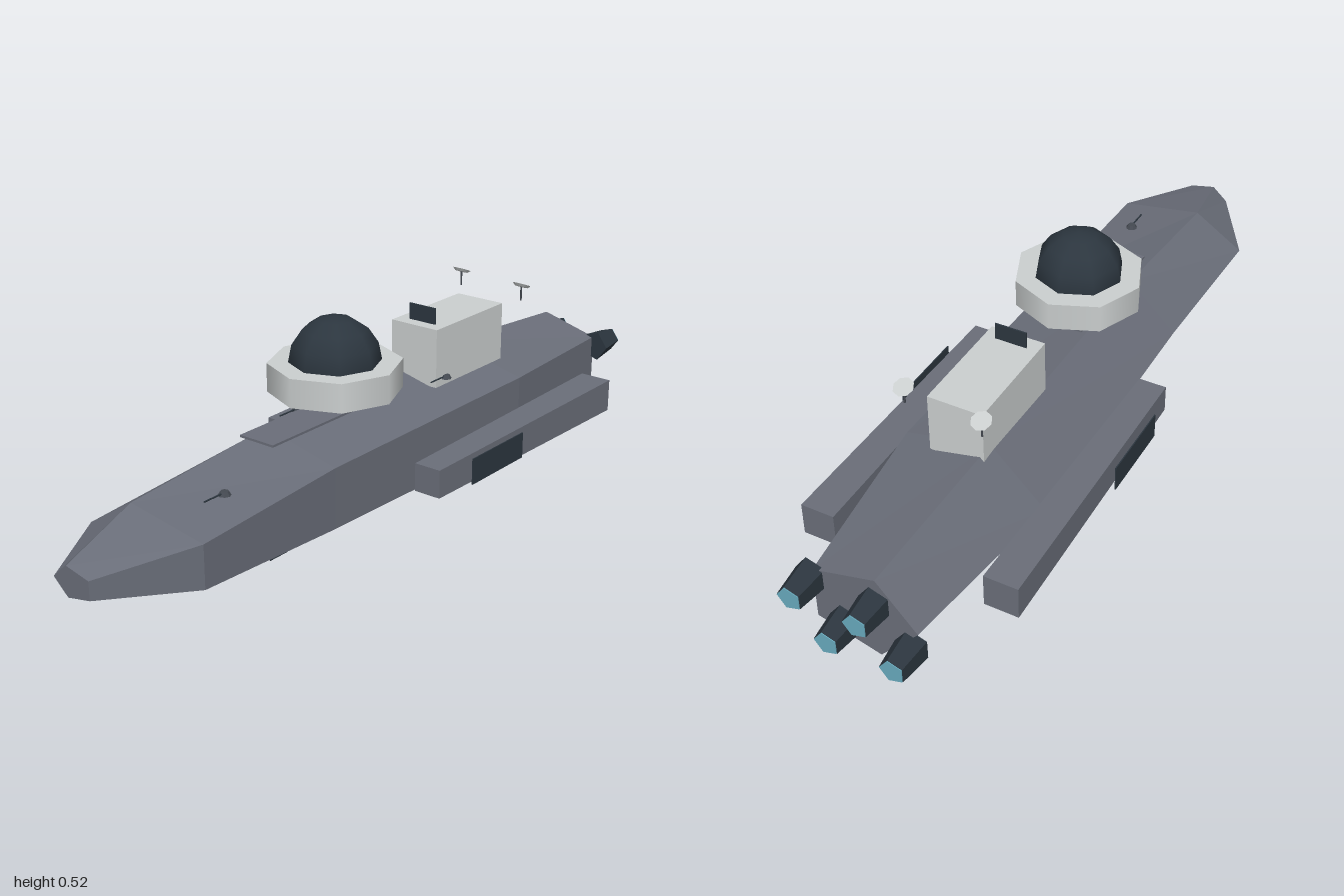
import * as THREE from 'three';

const mat = (name, color) => {
  const m = new THREE.MeshStandardMaterial({ color });
  m.name = name;
  return m;
};

// hard-edged version of a geometry
function faceted(geo) {
  const g = geo.index ? geo.toNonIndexed() : geo;
  g.computeVertexNormals();
  return g;
}

// loft of five-sided sections: [z, radiusX, radiusY]
function loftHull(sections, yMid, sides = 5) {
  const pos = [], idx = [];
  for (const [z, rx, ry] of sections) {
    for (let i = 0; i < sides; i++) {
      const a = Math.PI / sides + (i * 2 * Math.PI) / sides;
      pos.push(rx * Math.cos(a), yMid + ry * Math.sin(a), z);
    }
  }
  const last = (sections.length - 1) * sides;
  for (let s = 0; s < last; s += sides) {
    for (let i = 0; i < sides; i++) {
      const j = (i + 1) % sides;
      const a = s + i, b = s + j, c = a + sides, d = b + sides;
      idx.push(a, c, b, b, c, d);
    }
  }
  for (let i = 1; i < sides - 1; i++) {
    idx.push(0, i, i + 1, last, last + i + 1, last + i);
  }
  const g = new THREE.BufferGeometry();
  g.setAttribute('position', new THREE.Float32BufferAttribute(pos, 3));
  g.setIndex(idx);
  return faceted(g);
}

export function createModel() {
  const group = new THREE.Group();
  group.name = 'spaceship';
  const hullGrey = mat('hull grey', 0x6a6e79);
  const paleGrey = mat('pale grey', 0xcbcfcf);
  const darkSlate = mat('dark slate', 0x2c363f);
  const gunGrey = mat('gun grey', 0x454a52);
  const glowTeal = mat('engine glow', 0x68aabd);

  const add = (name, geo, material, x = 0, y = 0, z = 0, parent = group) => {
    const m = new THREE.Mesh(geo, material);
    m.name = name;
    m.position.set(x, y, z);
    parent.add(m);
    return m;
  };
  const box = (w, h, d) => new THREE.BoxGeometry(w, h, d);

  // main hull
  add('hull', loftHull([
    [1, 0.062, 0.04],
    [0.77, 0.201, 0.094],
    [0.32, 0.194, 0.135],
    [-0.45, 0.208, 0.152],
    [-0.92, 0.148, 0.124],
  ], 0.148), hullGrey);

  // side pods with dark outer panels
  for (const s of [1, -1]) {
    const pod = faceted(new THREE.CylinderGeometry(0.053, 0.0635, 0.8, 4).rotateY(Math.PI / 4).rotateX(Math.PI / 2));
    add('sidePod', pod, hullGrey, s * 0.245, 0.133, -0.328);
    add('podPanel', box(0.003, 0.07, 0.225), darkSlate, s * 0.303, 0.135, -0.152);
  }

  // deck plate, turret ring and dome
  add('deckPlate', box(0.105, 0.006, 0.38), hullGrey, 0, 0.289, 0.232);
  add('turretRing', new THREE.CylinderGeometry(0.17, 0.17, 0.075, 8), paleGrey, 0, 0.373, 0.13);
  add('turretDome', new THREE.SphereGeometry(0.117, 8, 4, 0, Math.PI * 2, 0, Math.PI / 2), darkSlate, 0, 0.41, 0.13);

  // bridge block and its screen
  add('bridge', box(0.147, 0.16, 0.302), paleGrey, 0, 0.34, -0.345);
  add('bridgeScreen', box(0.085, 0.045, 0.004), darkSlate, 0, 0.442, -0.23);

  // tilted dishes on short masts
  for (const [x, z] of [[-0.11, -0.56], [0.105, -0.54]]) {
    const dish = add('dish', new THREE.CylinderGeometry(0.026, 0.018, 0.007, 8), paleGrey, x, 0.466, z);
    dish.rotation.x = -0.4;
    add('dishMast', new THREE.CylinderGeometry(0.0025, 0.0025, 0.04, 6), gunGrey, x, 0.443, z);
  }

  // small gun mounts, above (1) and below (-1) the hull
  for (const [x, y, z, up] of [
    [0.074, 0.243, 0.61, 1], [0.075, 0.282, -0.235, 1], [-0.075, 0.282, 0.19, 1],
    [0.074, 0.022, 0.4, -1], [0.074, 0.022, -0.45, -1],
  ]) {
    const gun = new THREE.Group();
    gun.name = 'gunMount';
    gun.position.set(x, y, z);
    group.add(gun);
    if (up > 0) {
      add('gunBase', faceted(new THREE.CylinderGeometry(0.01, 0.016, 0.01, 8)), gunGrey, 0, 0, 0, gun);
    }
    const barrel = new THREE.CylinderGeometry(0.0022, 0.0022, 0.06, 6).rotateX(Math.PI / 2);
    add('gunBarrel', barrel, darkSlate, 0, up > 0 ? 0.001 : -0.006, 0.035, gun);
  }

  // four staggered engines
  for (const [x, y] of [[0.128, 0.198], [-0.042, 0.198], [0.042, 0.099], [-0.128, 0.099]]) {
    const nozzle = (rTop, rBottom, h) =>
      faceted(new THREE.CylinderGeometry(rTop, rBottom, h, 5, 1, false, Math.PI / 2).rotateX(-Math.PI / 2));
    add('engineNozzle', nozzle(0.033, 0.044, 0.088), darkSlate, x, y, -0.954);
    add('engineGlow', nozzle(0.032, 0.032, 0.004), glowTeal, x, y, -0.998);
  }

  return group;
}
